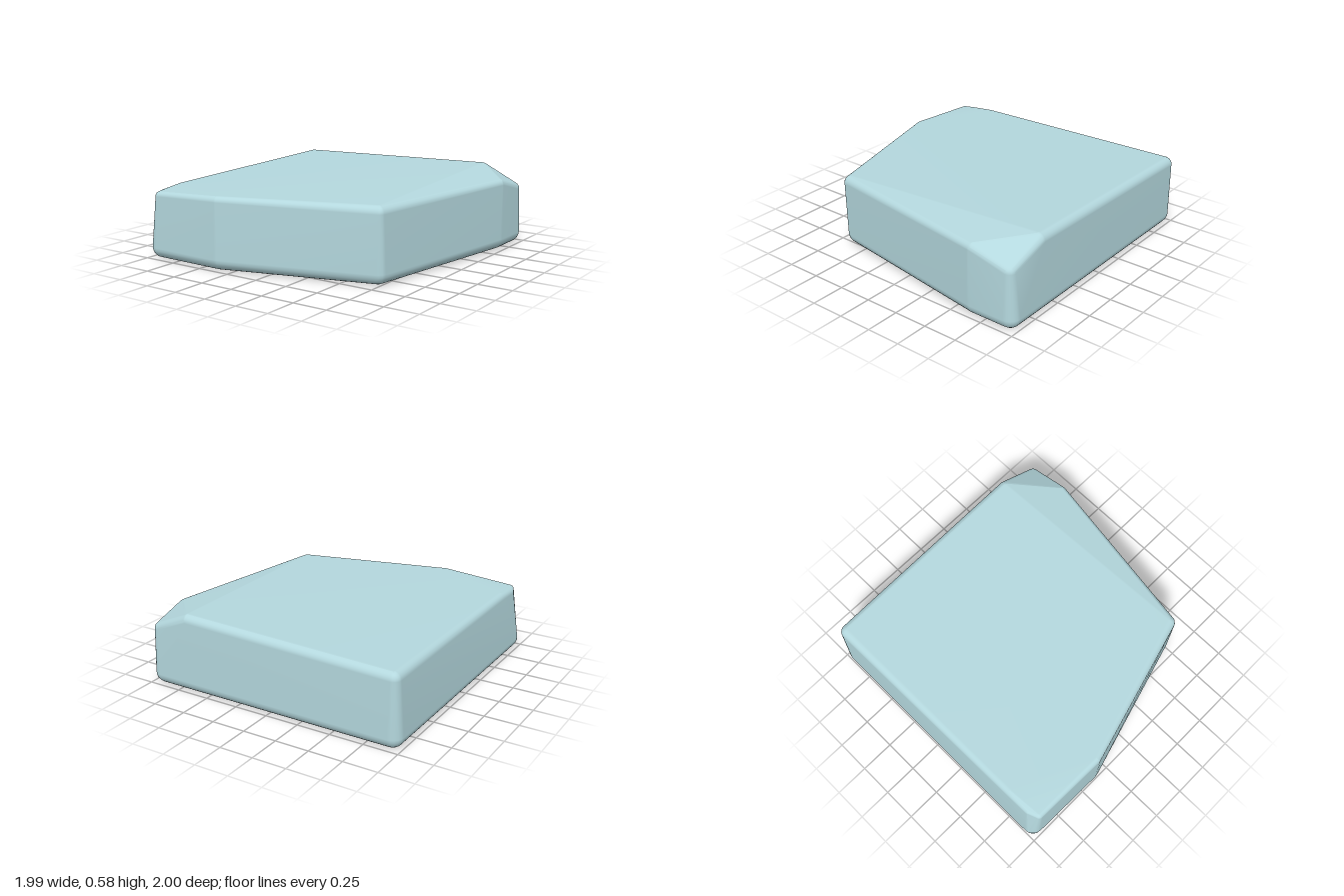
import * as THREE from 'three';
import { ConvexGeometry } from 'three/addons/geometries/ConvexGeometry.js';
import { mergeVertices } from 'three/addons/utils/BufferGeometryUtils.js';

// Rounded convex block: the hull of a small sphere at every corner [x, y, z, radius]
function roundedHull(corners) {
  const points = [];
  for (const [x, y, z, r] of corners) {
    const p = new THREE.SphereGeometry(r, 20, 12).attributes.position;
    for (let i = 0; i < p.count; i++) {
      points.push(new THREE.Vector3().fromBufferAttribute(p, i).add(new THREE.Vector3(x, y, z)));
    }
  }
  let geometry = new ConvexGeometry(points);
  geometry.deleteAttribute('normal');
  geometry = mergeVertices(geometry, 1e-4);
  geometry.computeVertexNormals();
  return geometry;
}

export function createModel() {
  const group = new THREE.Group();
  group.name = 'stoneSlab';

  // Six-sided base with a broad rounded lower edge
  const base = [
    [-0.92, -0.92], [0.91, -0.92], [0.91, -0.65],
    [0.71, 0.61], [-0.37, 0.92], [-0.92, 0.91],
  ].map(([x, z]) => [x, 0.08, z, 0.08]);

  // Gently tilted top with two worn corners
  const top = [
    [-0.93, 0.48, -0.94, 0.055],  // back left
    [0.66, 0.525, -0.945, 0.055], // peak at the back
    [0.93, 0.41, -0.925, 0.05],   // worn back corner
    [0.945, 0.485, -0.645, 0.045],
    [0.73, 0.48, 0.635, 0.055],   // front corner
    [-0.36, 0.48, 0.955, 0.04],
    [-0.90, 0.455, 0.945, 0.035], // worn front corner
    [-0.925, 0.455, 0.88, 0.035],
    [-0.92, 0.465, 0.70, 0.045],
  ];

  const slab = new THREE.Mesh(
    roundedHull([...base, ...top]),
    new THREE.MeshStandardMaterial({ color: 0xb4d8de })
  );
  slab.name = 'slab';
  group.add(slab);
  return group;
}
